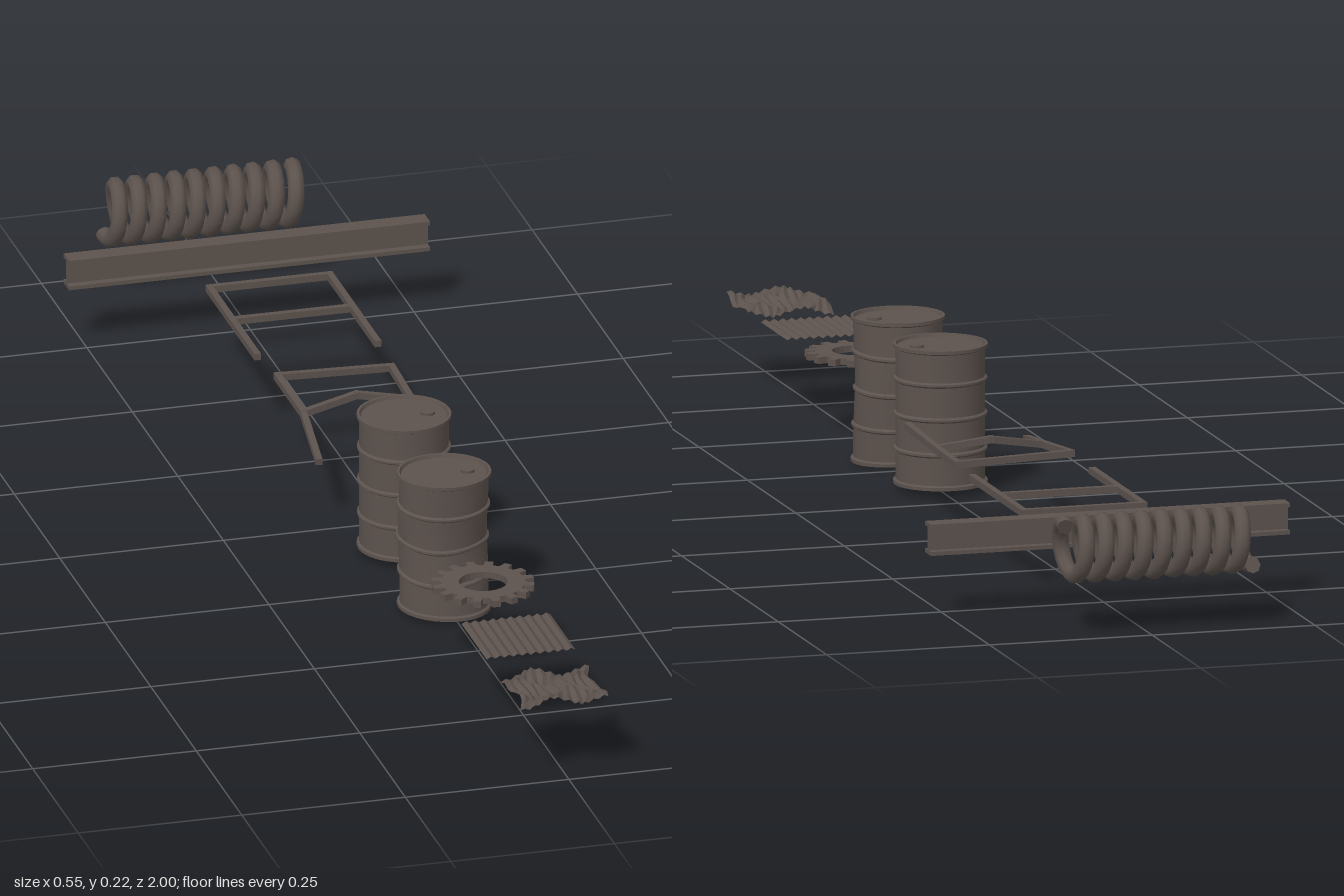
import * as THREE from 'three';
import { toCreasedNormals } from 'three/addons/utils/BufferGeometryUtils.js';

const V = (x, y, z) => new THREE.Vector3(x, y, z);
const steel = new THREE.MeshStandardMaterial({ color: 0x5c524d, side: THREE.DoubleSide });
steel.name = 'weathered steel';

function part(parent, name, geometry, x = 0, y = 0, z = 0) {
  const mesh = new THREE.Mesh(geometry, steel);
  mesh.name = name;
  mesh.position.set(x, y, z);
  parent.add(mesh);
  return mesh;
}

function group(parent, name) {
  const g = new THREE.Group();
  g.name = name;
  parent.add(g);
  return g;
}

// Move every vertex by a rule
function bend(geometry, rule) {
  const p = geometry.attributes.position;
  const v = new THREE.Vector3();
  for (let i = 0; i < p.count; i++) {
    v.fromBufferAttribute(p, i);
    rule(v);
    p.setXYZ(i, v.x, v.y, v.z);
  }
  return geometry;
}

// Square bar between two points
function bar(parent, name, a, b, size = 0.01) {
  const mesh = part(parent, name, new THREE.BoxGeometry(size, size, a.distanceTo(b) + size * 0.8));
  mesh.position.copy(a).add(b).multiplyScalar(0.5);
  mesh.lookAt(b);
}

// Coil spring lying along x
function spring(parent) {
  const g = group(parent, 'coilSpring');
  const start = -1.9, end = 18.5 * Math.PI + 0.4;
  class Helix extends THREE.Curve {
    getPoint(t, target = new THREE.Vector3()) {
      const a = start + (end - start) * t;
      return target.set(-0.15 + 0.03 * (a - Math.PI / 2) / (2 * Math.PI), 0.04 * Math.sin(a), 0.04 * Math.cos(a));
    }
  }
  const path = new Helix();
  part(g, 'coil', new THREE.TubeGeometry(path, 170, 0.0125, 8, false));
  for (const t of [0, 1]) {
    const cap = part(g, 'coilEnd', new THREE.CircleGeometry(0.0125, 8));
    cap.position.copy(path.getPoint(t));
    cap.lookAt(cap.position.clone().addScaledVector(path.getTangent(t), t ? 1 : -1));
  }
  g.position.set(0, 0.128, -0.946);
}

// I-beam along x
function beam(parent) {
  const w = 0.015, h = 0.0235, web = 0.0025, f = 0.0175;
  const half = [[-w, -h], [w, -h], [w, -f], [web, -f], [web, f], [w, f]];
  const outline = [...half, [w, h], [-w, h], [-w, f], [-web, f], [-web, -f], [-w, -f]];
  const shape = new THREE.Shape(outline.map(([x, y]) => new THREE.Vector2(x, y)));
  const geo = new THREE.ExtrudeGeometry(shape, { depth: 0.552, bevelEnabled: false });
  geo.translate(0, 0, -0.276).rotateY(Math.PI / 2);
  part(parent, 'beam', geo, 0, 0.1185, -0.77);
}

// Flat frame: two legs, end bar and cross bar
function straightFrame(parent) {
  const g = group(parent, 'straightFrame');
  const y = 0.122;
  for (const s of [-1, 1]) bar(g, 'leg', V(s * 0.092, y, -0.645), V(s * 0.092, y, -0.383));
  bar(g, 'endBar', V(-0.092, y, -0.645), V(0.092, y, -0.645));
  bar(g, 'crossBar', V(-0.092, y, -0.52), V(0.092, y, -0.52));
}

function bentFrame(parent) {
  const g = group(parent, 'bentFrame');
  const left = [V(0.087, 0.123, -0.287), V(0.083, 0.122, -0.165), V(0.086, 0.129, -0.028)];
  const right = [V(-0.088, 0.129, -0.285), V(-0.082, 0.119, -0.165), V(-0.096, 0.1, -0.03)];
  const middle = V(0.003, 0.134, -0.177);
  for (const leg of [left, right]) {
    bar(g, 'legBack', leg[0], leg[1]);
    bar(g, 'legFront', leg[1], leg[2]);
  }
  bar(g, 'endBar', left[0], right[0]);
  bar(g, 'crossBarLeft', left[1], middle);
  bar(g, 'crossBarRight', middle, right[1]);
}

// Drum with rims, three ribs, sunk lids and a bung
function barrel(parent, name, z, rule) {
  const g = group(parent, name);
  const h = 0.21, r = 0.066;
  const profile = [[0, 0.005], [0.064, 0.005], [0.066, 0], [0.07, 0], [0.07, 0.005], [r, 0.007]];
  for (const k of [1, 2, 3]) {
    const y = h * k / 4;
    profile.push([r, y - 0.026], [r, y - 0.004], [0.0695, y - 0.0015], [0.0695, y + 0.0015], [r, y + 0.004]);
  }
  profile.push([r, h - 0.026], [r, h - 0.007], [0.07, h - 0.005], [0.07, h], [0.066, h], [0.064, h - 0.005], [0, h - 0.005]);
  const body = new THREE.LatheGeometry(profile.map(([x, y]) => new THREE.Vector2(x, y)), 28);
  const bung = new THREE.CylinderGeometry(0.011, 0.011, 0.004, 12).translate(0.036, h - 0.003, 0);
  for (const [label, geo] of [['drumBody', body], ['bung', bung]]) {
    if (rule) bend(geo, rule);
    part(g, label, toCreasedNormals(geo, 0.6));
  }
  g.position.set(-0.004, 0.013, z);
}

// Sag, lean and side dents of the damaged drum
function dent(v) {
  const t = v.y / 0.21;
  const a = Math.atan2(v.z, v.x);
  const rad = Math.hypot(v.x, v.z) / 0.07;
  const middle = Math.exp(-Math.pow((t - 0.5) / 0.2, 2));
  const facing = Math.pow(Math.max(0, Math.cos(a - 1.3)), 4);
  const k = 1 - 0.13 * middle * facing * rad + 0.02 * Math.sin(3 * a + 7 * t) * rad * Math.sin(Math.PI * t);
  const x = v.x, z = v.z;
  v.x = x * k;
  v.z = z * k * 0.95 - 0.004 * Math.sin(Math.PI * t);
  v.y += (1 - t) * (-0.005 - 0.05 * x) - 0.002 + 0.003 * Math.sin(2 * a + 1) * rad * Math.sin(Math.PI * t);
}

// Toothed ring lying flat
function gear(parent) {
  const teeth = 16, points = [];
  for (let i = 0; i < teeth; i++) {
    for (const [f, r] of [[-0.3, 0.062], [-0.2, 0.076], [0.2, 0.076], [0.3, 0.062]]) {
      const a = (i + f) * 2 * Math.PI / teeth;
      points.push(new THREE.Vector2(r * Math.cos(a), r * Math.sin(a)));
    }
  }
  const shape = new THREE.Shape(points);
  const hole = new THREE.Path();
  hole.absarc(0, 0, 0.036, 0, Math.PI * 2, true);
  shape.holes.push(hole);
  const geo = new THREE.ExtrudeGeometry(shape, { depth: 0.01, bevelEnabled: false, curveSegments: 12 });
  part(parent, 'gear', geo.rotateX(-Math.PI / 2), -0.001, 0.117, 0.532);
}

// Ridged sheet, ridges running along z
function sheet(parent, name, z, rows, rule) {
  const columns = 20;
  const geo = new THREE.PlaneGeometry(0.136, 0.138, columns, rows).rotateX(-Math.PI / 2);
  bend(geo, (v) => {
    const column = Math.round((v.x / 0.136 + 0.5) * columns);
    v.y = column % 2 ? 0.002 : -0.002;
    if (rule) rule(v);
  });
  const flat = geo.toNonIndexed();
  flat.computeVertexNormals();
  part(parent, name, flat, -0.002, 0.122, z);
}

// Folds and skewed edges of the crumpled sheet
function crumple(v) {
  const { x, z } = v;
  v.y += 0.05 * z + 0.004 * Math.sin(70 * x + 45 * z) + 0.003 * Math.sin(95 * z - 60 * x + 1);
  v.x = x * 0.96 + 0.004 * Math.sin(60 * z) + 0.002 * Math.sin(120 * x + 90 * z);
  v.z = z * 0.94 + 0.05 * x + 0.003 * Math.sin(80 * x);
}

export function createModel() {
  const model = new THREE.Group();
  model.name = 'scrapMetalSet';
  spring(model);
  beam(model);
  straightFrame(model);
  bentFrame(model);
  barrel(model, 'barrel', 0.108);
  barrel(model, 'dentedBarrel', 0.328, dent);
  gear(model);
  sheet(model, 'corrugatedSheet', 0.731, 1);
  sheet(model, 'crumpledSheet', 0.929, 10, crumple);
  return model;
}
